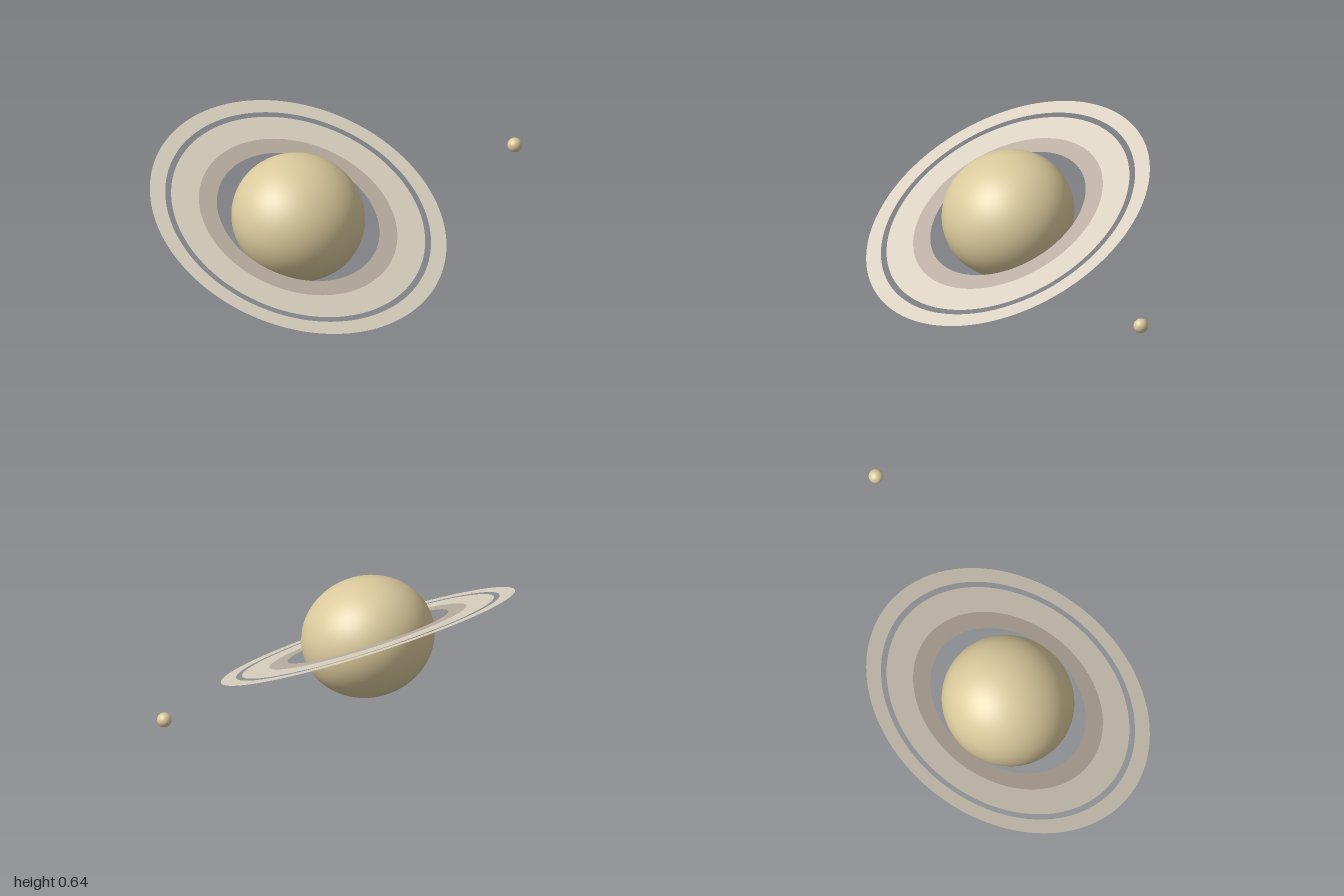
import * as THREE from 'three';

const material = (name, color, side = THREE.FrontSide) => {
  const m = new THREE.MeshStandardMaterial({ color, side });
  m.name = name;
  return m;
};

export function createModel() {
  const sand = material('sand', 0xdac99c);
  const paleRing = material('pale ring', 0xd9d0c0, THREE.DoubleSide);
  const duskyRing = material('dusky ring', 0xb9ada0, THREE.DoubleSide);

  const model = new THREE.Group();
  model.name = 'ringedPlanet';

  const add = (parent, name, geometry, mat) => {
    const mesh = new THREE.Mesh(geometry, mat);
    mesh.name = name;
    parent.add(mesh);
    return mesh;
  };

  // Planet and rings share one tilted axis
  const tilted = new THREE.Group();
  tilted.name = 'tiltedPlanet';
  tilted.position.set(-0.29, 0.32, 0);
  tilted.rotation.x = THREE.MathUtils.degToRad(26.7);
  model.add(tilted);

  // Globe, flattened at the poles
  add(tilted, 'globe', new THREE.SphereGeometry(0.31, 96, 64), sand).scale.y = 0.905;

  // Flat rings, with a gap between the middle and outer ones
  const rings = [
    ['innerRing', 0.389, 0.475, duskyRing],
    ['middleRing', 0.475, 0.608, paleRing],
    ['outerRing', 0.636, 0.71, paleRing],
  ];
  for (const [name, inner, outer, mat] of rings) {
    const geometry = new THREE.RingGeometry(inner, outer, 160, 1).rotateX(-Math.PI / 2);
    add(tilted, name, geometry, mat);
  }

  // Small moon
  add(model, 'moon', new THREE.SphereGeometry(0.034, 32, 24), sand).position.set(0.966, 0.323, 0);

  return model;
}
